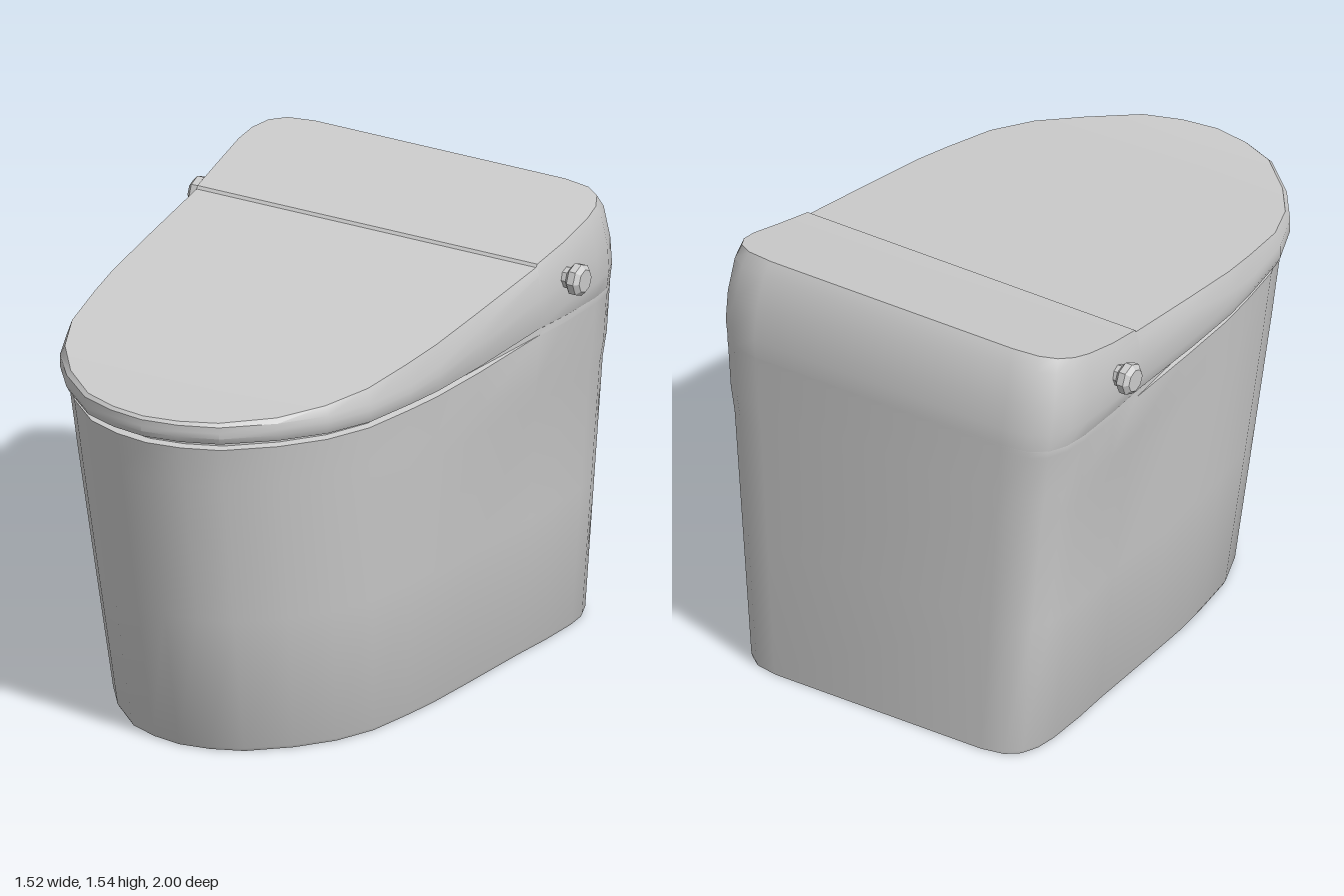
import * as THREE from 'three';
import { toCreasedNormals } from 'three/addons/utils/BufferGeometryUtils.js';

// Right half of the plan outline, back to front: [x, z]
const HALF = [
  [0.5, -1], [0.6, -0.982], [0.655, -0.94], [0.685, -0.87], [0.695, -0.78],
  [0.69, -0.6], [0.678, -0.45], [0.677, -0.443], [0.66, -0.1], [0.645, 0.15],
  [0.625, 0.3], [0.59, 0.5], [0.52, 0.66], [0.41, 0.8], [0.26, 0.93],
  [0.13, 0.98], [0, 1],
];
const N = HALF.length * 2 - 1;
const PANEL_ROW = 6; // row where the rear panel meets the lid

const { lerp, smoothstep, clamp } = THREE.MathUtils;
const rear = (z) => 1 - smoothstep(z, -0.45, 0.05);

// Piecewise linear lookup, keys in descending z
function along(keys, z) {
  for (let i = 1; i < keys.length; i++) {
    const [z0, y0] = keys[i - 1], [z1, y1] = keys[i];
    if (z >= z1) return lerp(y0, y1, clamp((z0 - z) / (z0 - z1), 0, 1));
  }
  return keys[keys.length - 1][1];
}
const edgeY = (z) => along([[1, 1.255], [0.25, 1.262], [-0.1, 1.335], [-0.47, 1.405], [-1, 1.5]], z);
const topY = (z) => along([[1, 1.265], [0.8, 1.272], [-0.443, 1.43], [-0.45, 1.44], [-1, 1.545]], z);

// One cross-section: height and width scale may vary with z; lean pulls the back forward
function ring(y, scale, front = 1, lean = 0) {
  const right = HALF.map(([x, z]) => {
    const s = typeof scale === 'function' ? scale(z) : scale;
    const h = typeof y === 'function' ? y(z) : y;
    const back = clamp((-0.6 - z) / 0.4, 0, 1);
    return [x * s, h, -1 + (z + 1) * (front + 1) / 2 + lean * back];
  });
  const left = right.slice(0, -1).reverse().map(([x, h, z]) => [-x, h, z]);
  return [...right, ...left];
}

function build(quads, angle = 0.6) {
  const pos = [];
  for (const [a, b, c, d] of quads) pos.push(...a, ...b, ...c, ...a, ...c, ...d);
  const geo = new THREE.BufferGeometry();
  geo.setAttribute('position', new THREE.Float32BufferAttribute(pos, 3));
  return toCreasedNormals(geo, angle);
}

function wall(rings) {
  const quads = [];
  for (let r = 0; r < rings.length - 1; r++) {
    const a = rings[r], b = rings[r + 1];
    for (let i = 0; i < N; i++) {
      const j = (i + 1) % N;
      quads.push([a[j], a[i], b[i], b[j]]);
    }
  }
  return quads;
}

// Strips across a ring from row k0 to row k1
function cap(r, k0, k1, down = false) {
  const quads = [];
  for (let k = k0; k < k1; k++) {
    const q = [r[k], r[N - 1 - k], r[N - 2 - k], r[k + 1]];
    quads.push(down ? q.reverse() : q);
  }
  return quads;
}

export function createModel() {
  const group = new THREE.Group();
  const ceramic = new THREE.MeshStandardMaterial({ color: 0xcccccc });
  ceramic.name = 'ceramic grey';
  const add = (name, geo) => {
    const mesh = new THREE.Mesh(geo, ceramic);
    mesh.name = name;
    group.add(mesh);
    return mesh;
  };
  const last = HALF.length - 1;

  // Tapered pedestal, slightly fuller at the rear above y = 0.93
  const frontAt = (y) => 0.76 + 0.18 * y;
  const fuller = (f, b) => (z) => lerp(f, b, rear(z));
  const seamY = (y) => (z) => y + 0.02 * rear(z);
  const neckScale = fuller(0.93, 0.986);
  const base = ring(0, 0.827, 0.752);
  const neckTop = ring(seamY(1.188), neckScale, 0.94);
  const body = [
    base,
    ring(0.012, 0.835, frontAt(0)),
    ring(0.5, 0.892, frontAt(0.5)),
    ring(0.93, 0.943, frontAt(0.93)),
    ring(1.02, fuller(0.951, 0.967), frontAt(1.02)),
    ring(seamY(1.162), fuller(0.966, 0.985), 0.97),
    ring(seamY(1.166), neckScale, 0.94), // shadow gap under the lid
    neckTop,
  ];
  add('body', build([...wall(body), ...cap(base, 0, last, true)]));

  // Lid rim rising into the rear housing, with a bevel up to the top face
  const topRing = ring(topY, 0.973, 0.99, 0.08);
  const rim = [
    neckTop,
    ring(seamY(1.19), fuller(0.985, 0.988), 0.985),
    ring((z) => lerp(1.2, edgeY(z), 0.25), 1, 1),
    ring((z) => lerp(1.2, edgeY(z), 0.6), fuller(1, 1.005), 1, 0.02),
    ring(edgeY, fuller(1, 0.99), 1, 0.05),
    topRing,
  ];
  add('lidRim', build(wall(rim)));

  // Top faces: rear panel stands a little proud of the lid
  add('rearPanel', build(cap(topRing, 0, PANEL_ROW)));
  add('lidTop', build(cap(topRing, PANEL_ROW, last), 0.3));

  // Faceted side knobs
  const profile = [[0.035, 0], [0.038, 0.035], [0.056, 0.05], [0.056, 0.075], [0.04, 0.09], [0, 0.09]]
    .map(([r, h]) => new THREE.Vector2(r, h));
  const knob = toCreasedNormals(new THREE.LatheGeometry(profile, 8), 0.1);
  for (const side of [1, -1]) {
    const mesh = add(side > 0 ? 'leftKnob' : 'rightKnob', knob);
    mesh.position.set(side * 0.67, 1.35, -0.595);
    mesh.rotation.z = -side * Math.PI / 2;
  }
  return group;
}
